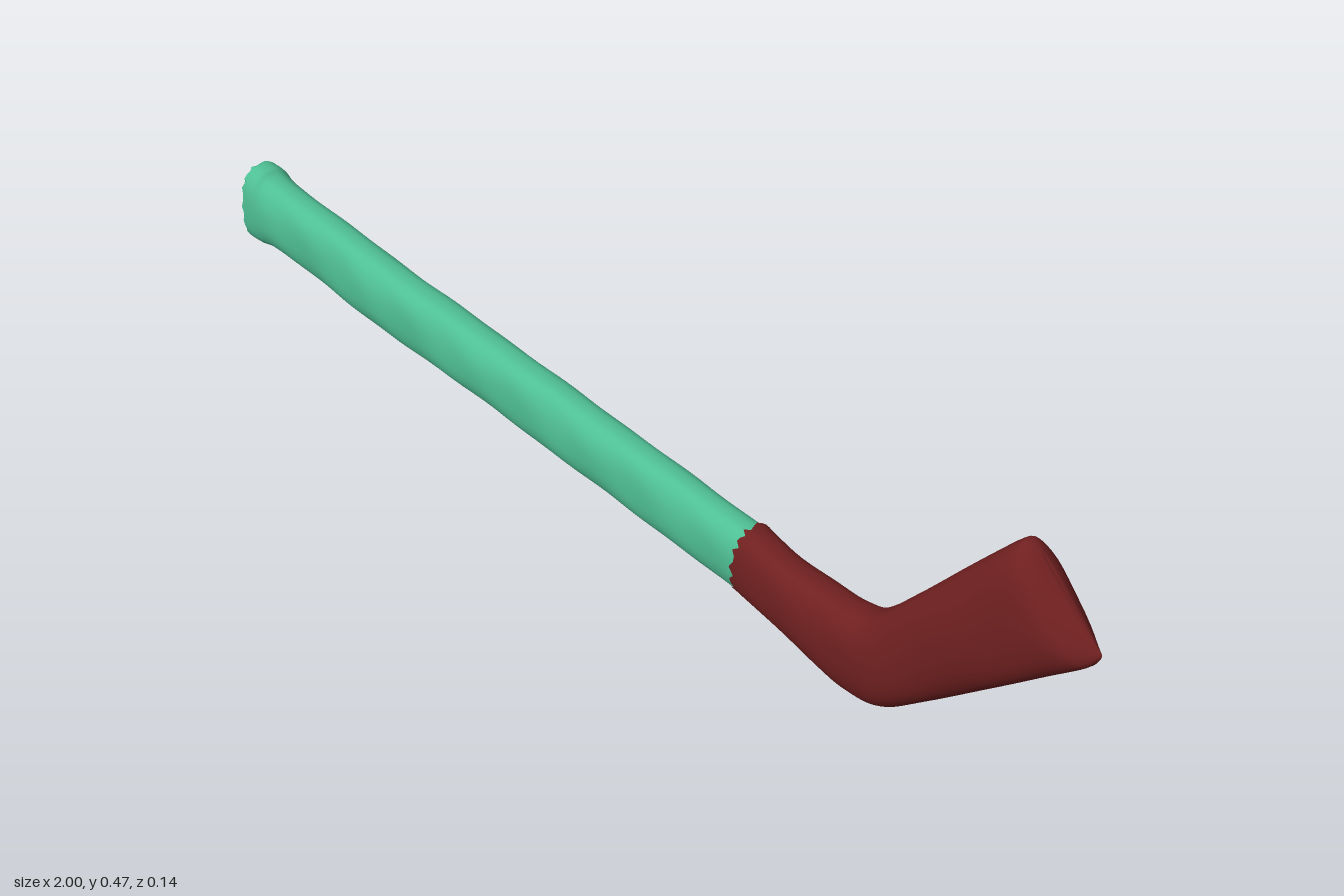
import * as THREE from 'three';

// Section: [topX, topY, bottomX, bottomY, centreZ, halfThickness]
const LEG = [
  [-0.99, 0.197, -0.995, 0.04, 0.026, 0.045],
  [-0.965, 0.196, -0.965, 0.041, 0.025, 0.045],
  [-0.93, 0.184, -0.92, 0.047, 0.023, 0.041],
  [-0.80, 0.181, -0.80, 0.046, 0.020, 0.040],
  [-0.60, 0.174, -0.60, 0.040, 0.016, 0.041],
  [-0.40, 0.172, -0.40, 0.045, 0.011, 0.040],
  [-0.15, 0.169, -0.15, 0.042, 0.005, 0.039],
  [0.10, 0.166, 0.10, 0.040, 0.000, 0.038],
  [0.325, 0.164, 0.32, 0.037, -0.004, 0.037],
];
const FOOT = [
  [0.32, 0.170, 0.308, 0.036, -0.004, 0.040],
  [0.40, 0.154, 0.39, 0.026, -0.006, 0.039],
  [0.48, 0.155, 0.48, 0.010, -0.008, 0.043],
  [0.55, 0.163, 0.56, 0.003, -0.008, 0.045],
  [0.60, 0.184, 0.63, 0.018, -0.010, 0.045],
  [0.67, 0.262, 0.71, 0.082, -0.015, 0.046],
  [0.75, 0.360, 0.83, 0.190, -0.021, 0.047],
  [0.81, 0.432, 0.92, 0.272, -0.026, 0.046],
  [0.838, 0.464, 0.972, 0.318, -0.029, 0.040],
  [0.852, 0.473, 0.990, 0.336, -0.031, 0.026],
  [0.870, 0.466, 0.999, 0.354, -0.032, 0.008],
  [0.880, 0.457, 0.996, 0.362, -0.032, 0.000],
];

// Value of one column along the smooth curve through the sections
function sample(rows, t, col) {
  const f = t * (rows.length - 1);
  const i = Math.min(Math.floor(f), rows.length - 2);
  const w = f - i;
  const at = (k) => rows[Math.max(0, Math.min(rows.length - 1, k))][col];
  const [p0, p1, p2, p3] = [at(i - 1), at(i), at(i + 1), at(i + 2)];
  const m1 = (p2 - p0) / 2, m2 = (p3 - p1) / 2;
  return p1 + w * (m1 + w * (3 * (p2 - p1) - 2 * m1 - m2 + w * (2 * (p1 - p2) + m1 + m2)));
}

const soft = (v, e) => Math.sign(v) * Math.pow(Math.abs(v), e);

// Loft of rounded, flattened cross-sections with gentle cloth ripples
function clothTube(rows, steps, ripple, jag) {
  const sides = 40, pos = [], index = [];
  for (let i = 0; i <= steps; i++) {
    const t = i / steps;
    const [tx, ty, bx, by, cz, h] = [0, 1, 2, 3, 4, 5].map((c) => sample(rows, t, c));
    for (let j = 0; j < sides; j++) {
      const a = (j / sides) * Math.PI * 2;
      const k = soft(Math.cos(a), 0.85);
      const x = (tx + bx) / 2 + k * (tx - bx) / 2;
      const y = (ty + by) / 2 + k * (ty - by) / 2;
      const fold = 1 + ripple * (Math.sin(x * 23 + a * 2) + Math.sin(x * 41 - a * 3));
      const edge = i === 0 ? jag * Math.sin(j * 2.4) : 0;
      pos.push(x + edge, y, cz + soft(Math.sin(a), 0.8) * Math.max(h, 0) * fold);
    }
  }
  for (let i = 0; i < steps; i++) {
    for (let j = 0; j < sides; j++) {
      const a = i * sides + j, b = i * sides + (j + 1) % sides;
      index.push(a, b, a + sides, b, b + sides, a + sides);
    }
  }
  const geo = new THREE.BufferGeometry();
  geo.setAttribute('position', new THREE.Float32BufferAttribute(pos, 3));
  geo.setIndex(index);
  geo.computeVertexNormals();
  return geo;
}

function part(name, geometry, color) {
  const material = new THREE.MeshStandardMaterial({ color, side: THREE.DoubleSide });
  const mesh = new THREE.Mesh(geometry, material);
  mesh.name = name;
  return mesh;
}

export function createModel() {
  const group = new THREE.Group();
  group.name = 'sock';
  // Long leg tube, open at the cuff
  group.add(part('leg', clothTube(LEG, 96, 0.025, 0.004), 0x4fbf95));
  // Bent foot with heel and closed toe
  group.add(part('foot', clothTube(FOOT, 66, 0.02, 0.006), 0x702020));
  return group;
}
